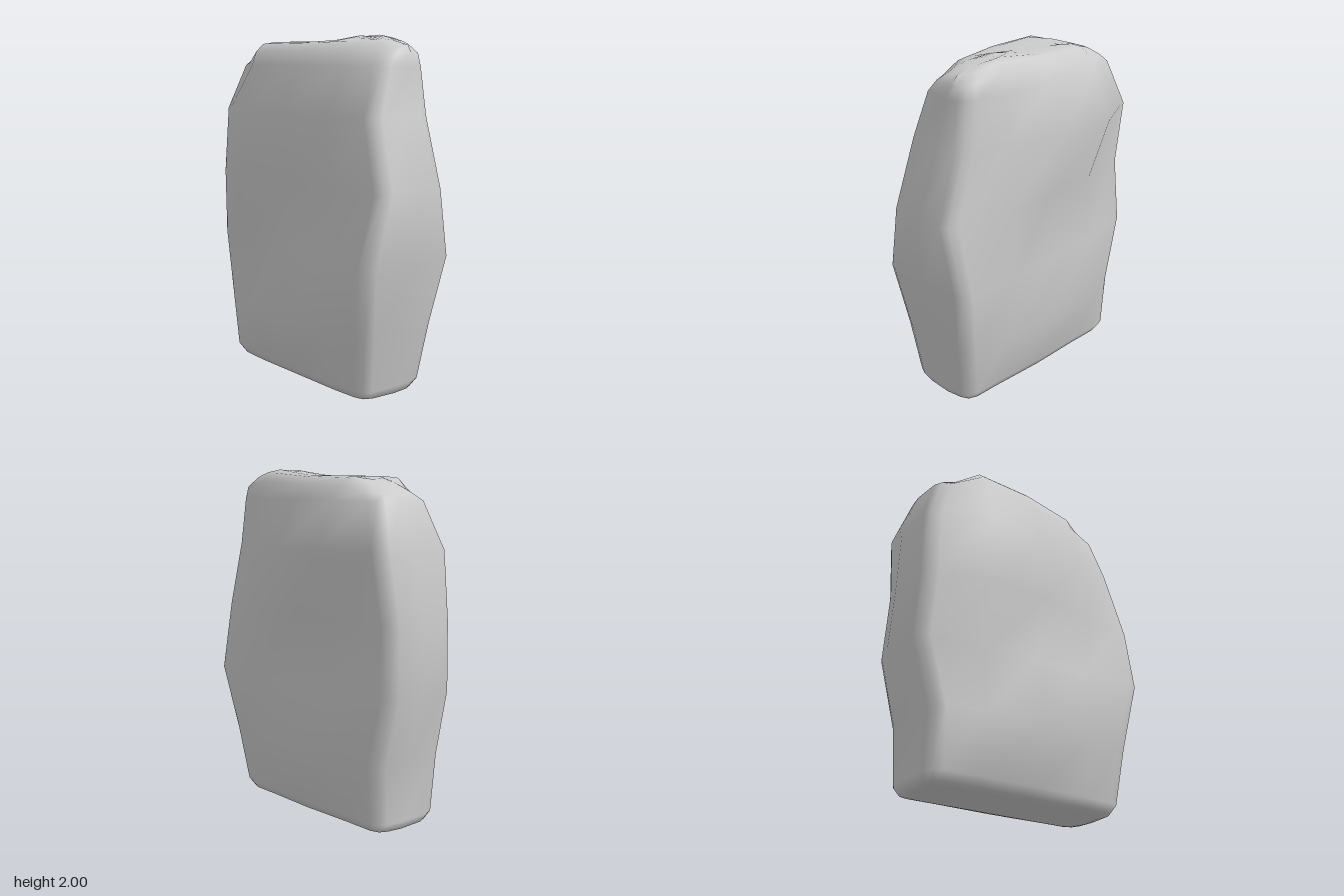
import * as THREE from 'three';

// Levels of the stone: height, left and right x of the side middles, then z at five stations
// (left corner, x = -0.35, 0, 0.35, right corner) on the front and on the back.
const LEVELS = [
  { y: 0.0, l: -0.59, r: 0.55, f: [0.17, 0.18, 0.18, 0.18, 0.17], b: [-0.13, -0.13, -0.13, -0.13, -0.13] },
  { y: 0.012, l: -0.63, r: 0.59, f: [0.22, 0.23, 0.23, 0.23, 0.22], b: [-0.17, -0.17, -0.18, -0.17, -0.17] },
  { y: 0.06, l: -0.652, r: 0.615, f: [0.25, 0.26, 0.265, 0.26, 0.25], b: [-0.2, -0.2, -0.21, -0.2, -0.2] },
  { y: 0.39, l: -0.66, r: 0.665, f: [0.28, 0.34, 0.39, 0.32, 0.28], b: [-0.22, -0.29, -0.31, -0.28, -0.24] },
  { y: 0.78, l: -0.78, r: 0.758, f: [0.26, 0.3, 0.31, 0.3, 0.33], b: [-0.22, -0.28, -0.29, -0.315, -0.3] },
  { y: 1.17, l: -0.757, r: 0.78, f: [0.28, 0.39, 0.35, 0.29, 0.24], b: [-0.2, -0.26, -0.27, -0.29, -0.22] },
  { y: 1.56, l: -0.717, r: 0.637, f: [0.26, 0.365, 0.33, 0.27, 0.21], b: [-0.26, -0.4, -0.38, -0.28, -0.22] },
  { y: 1.83, l: -0.62, r: 0.6, f: [0.19, 0.29, 0.26, 0.19, 0.12], b: [-0.2, -0.28, -0.27, -0.24, -0.21] },
  { y: 1.91, l: -0.575, r: 0.587, f: [0.15, 0.26, 0.23, 0.15, 0.06], b: [-0.18, -0.23, -0.23, -0.22, -0.2] },
  { y: 1.955, l: -0.51, r: 0.55, f: [0.1, 0.21, 0.18, 0.09, 0.0], b: [-0.14, -0.18, -0.18, -0.18, -0.16] },
];

// One closed outline with rounded corners, counter-clockwise from above
function outline({ y, l, r, f, b }) {
  const inset = y > 0.7 && y < 1.2 ? 0.035 : 0.012;
  const el = l + inset, er = r - inset, c = 0.075;
  const pts = [];
  const corner = (x, z, sx, sz, reverse) => {
    const arc = [[sx * c, 0], [sx * c * 0.3, -sz * c * 0.25], [0, -sz * c * 0.9]];
    if (reverse) arc.reverse();
    for (const [dx, dz] of arc) pts.push([x + dx, z + dz]);
  };
  corner(el, f[0], 1, 1, true);
  pts.push([-0.35, f[1]], [0, f[2]], [0.35, f[3]]);
  corner(er, f[4], -1, 1, false);
  pts.push([r, (f[4] + b[4]) / 2 - 0.03]);
  corner(er, b[4], -1, -1, true);
  pts.push([0.35, b[3]], [0, b[2]], [-0.35, b[1]]);
  corner(el, b[0], 1, -1, false);
  pts.push([l, (f[0] + b[0]) / 2 - 0.04]);
  return pts.map(([x, z]) => new THREE.Vector3(x, y, z));
}

// The crown rises toward a back ridge right of the middle and falls off on the left
function shapeCrown(p) {
  const w = THREE.MathUtils.smoothstep(p.y, 1.8, 1.955);
  const ridge = 0.04 * Math.exp(-(((p.x - 0.26) / 0.17) ** 2)) * THREE.MathUtils.smoothstep(-p.z, -0.12, 0.1);
  const fall = -0.055 * THREE.MathUtils.smoothstep(-p.x, 0.3, 0.56) - 0.015 * THREE.MathUtils.smoothstep(p.x, 0.42, 0.58);
  p.y += w * (ridge + fall);
  return p;
}

// Copy of an outline drawn in toward its middle line, for the caps
function shrink(ring, k, lift) {
  const n = ring.length;
  const zMid = (Math.max(...ring.map(p => p.z)) + Math.min(...ring.map(p => p.z))) / 2;
  const xMid = ring.reduce((s, p) => s + p.x, 0) / n;
  return ring.map(p => new THREE.Vector3(xMid + (p.x - xMid) * k, p.y + lift, zMid - 0.02 + (p.z - zMid + 0.02) * k));
}

function loft(rings) {
  const n = rings[0].length;
  const pos = rings.flat().flatMap(p => [p.x, p.y, p.z]);
  const idx = [];
  for (let i = 0; i < rings.length - 1; i++) {
    for (let j = 0; j < n; j++) {
      const a = i * n + j, b = i * n + ((j + 1) % n);
      idx.push(a, b, b + n, a, b + n, a + n);
    }
  }
  const g = new THREE.BufferGeometry();
  g.setAttribute('position', new THREE.Float32BufferAttribute(pos, 3));
  g.setIndex(idx);
  g.computeVertexNormals();
  return g;
}

export function createModel() {
  const group = new THREE.Group();
  group.name = 'standingStone';

  const body = LEVELS.map(outline);
  const bottom = body[0], top = body[body.length - 1];
  const rings = [
    shrink(bottom, 0.001, 0), shrink(bottom, 0.6, 0),
    ...body,
    shrink(top, 0.8, 0.006), shrink(top, 0.4, 0.008), shrink(top, 0.001, 0.008),
  ];
  rings.flat().forEach(shapeCrown);

  const stone = new THREE.Mesh(loft(rings), new THREE.MeshStandardMaterial({ color: 0xcccccc }));
  stone.name = 'stone';
  group.add(stone);
  return group;
}
